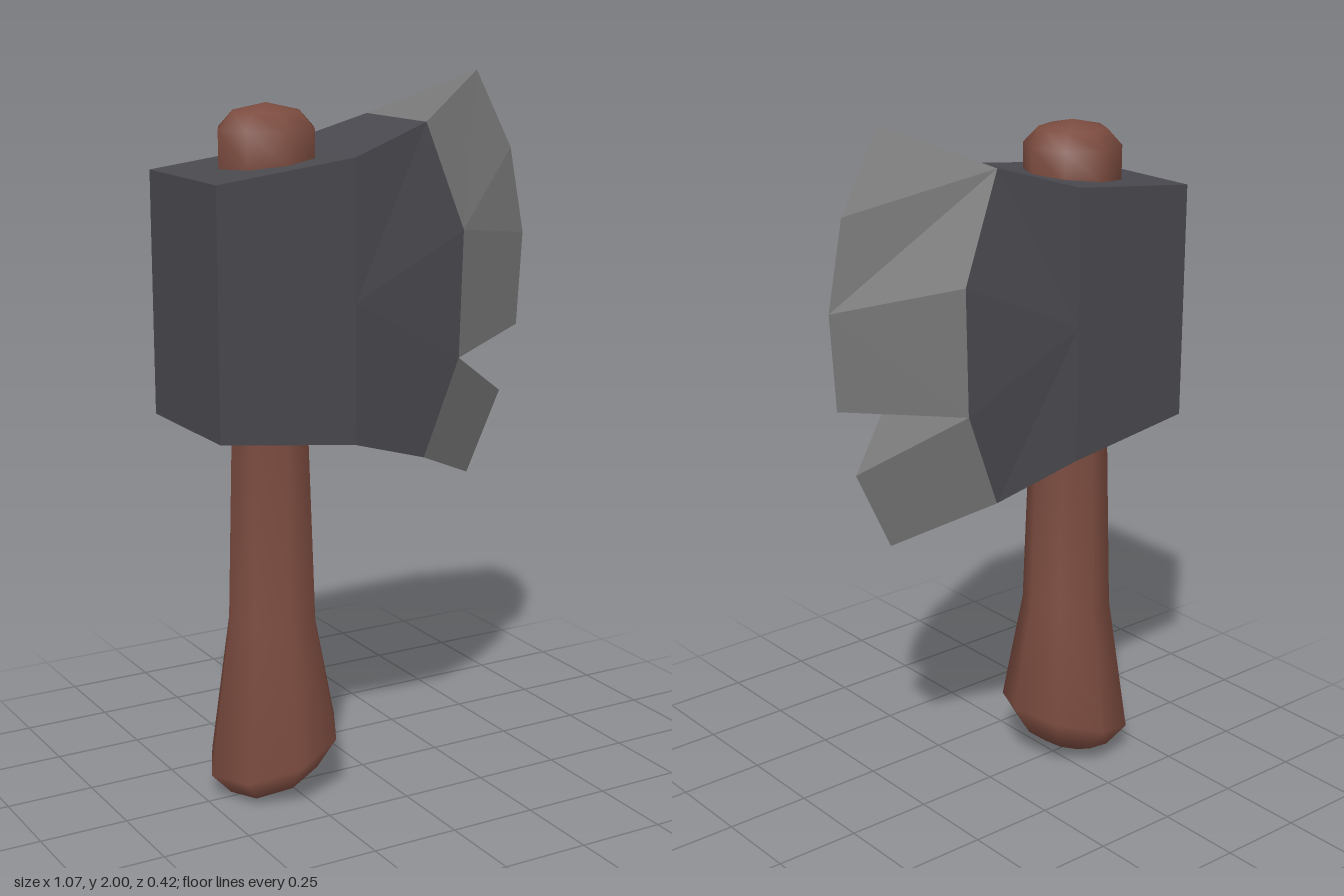
import * as THREE from 'three';
import { mergeVertices } from 'three/addons/utils/BufferGeometryUtils.js';

const iron = new THREE.MeshStandardMaterial({ color: 0x4a494f });
iron.name = 'dark iron';
const steel = new THREE.MeshStandardMaterial({ color: 0x787878 });
steel.name = 'steel';
const wood = new THREE.MeshStandardMaterial({ color: 0x7c4c40 });
wood.name = 'brown wood';

// Flat-faced geometry from convex polygons (corners anticlockwise seen from outside)
function facets(polygons) {
  const pos = [];
  for (const p of polygons) {
    for (let i = 1; i < p.length - 1; i++) pos.push(...p[0], ...p[i], ...p[i + 1]);
  }
  const g = new THREE.BufferGeometry();
  g.setAttribute('position', new THREE.Float32BufferAttribute(pos, 3));
  g.computeVertexNormals();
  return g;
}

const back = ([x, y, z]) => [x, y, -z];
const bothSides = (polys) => [...polys, ...polys.map((p) => p.map(back).reverse())];

function part(name, geometry, material) {
  const mesh = new THREE.Mesh(geometry, material);
  mesh.name = name;
  return mesh;
}

// Outline of the head's front side, anticlockwise
const rim = [
  [-0.54, 1.085, 0.202], [-0.14, 1.035, 0.205], [0.105, 0.957, 0.158], [0.21, 1.23, 0.168],
  [0.22, 1.585, 0.17], [0.105, 1.88, 0.158], [-0.14, 1.803, 0.205], [-0.54, 1.755, 0.202],
];

function headGeometry() {
  const centre = [-0.14, 1.42, 0.208];
  const sides = [];
  const edges = [];
  rim.forEach((a, i) => {
    const b = rim[(i + 1) % rim.length];
    sides.push([centre, a, b]);
    // the front edges are covered by the blade
    if (i < 2 || i > 4) edges.push([a, back(a), back(b), b]);
  });
  return facets([...bothSides(sides), ...edges]);
}

function upperBladeGeometry() {
  const notch = rim[3], mid = rim[4], top = rim[5];
  const tip = [0.367, 2, 0], heel = [0.515, 1.268, 0], belly = [0.532, 1.535, 0];
  return facets([
    ...bothSides([
      [mid, belly, [0.485, 1.78, 0], tip, top],
      [mid, notch, heel, belly],
    ]),
    [top, tip, back(top)],
    [back(notch), heel, notch],
  ]);
}

function lowerBladeGeometry() {
  const notch = rim[3], base = rim[2];
  const upper = [0.46, 1.077, 0], lower = [0.35, 0.845, 0];
  return facets([
    ...bothSides([[notch, base, lower, upper]]),
    [notch, upper, back(notch)],
    [back(base), lower, base],
  ]);
}

// Eight-sided smooth handle with a slanted butt
function handleGeometry() {
  const profile = [
    [0, 0.012], [0.07, 0.02], [0.132, 0.05], [0.19, 0.13], [0.13, 0.5],
    [0.112, 1.06], [0.137, 1.78], [0.137, 1.87], [0.095, 1.915], [0, 1.937],
  ].map(([r, y]) => new THREE.Vector2(r, y));
  let g = new THREE.LatheGeometry(profile, 8);
  g.rotateY(-0.07);
  const p = g.attributes.position;
  for (let i = 0; i < p.count; i++) {
    if (p.getY(i) < 0.3) p.setY(i, Math.max(0, p.getY(i) + 0.32 * p.getX(i)));
  }
  g.deleteAttribute('uv');
  g.deleteAttribute('normal');
  g = mergeVertices(g, 1e-4);
  g.computeVertexNormals();
  return g;
}

export function createModel() {
  const axe = new THREE.Group();
  axe.name = 'axe';
  const handle = part('handle', handleGeometry(), wood);
  handle.position.x = -0.293;
  axe.add(
    handle,
    part('head', headGeometry(), iron),
    part('upperBlade', upperBladeGeometry(), steel),
    part('lowerBlade', lowerBladeGeometry(), steel),
  );
  return axe;
}
